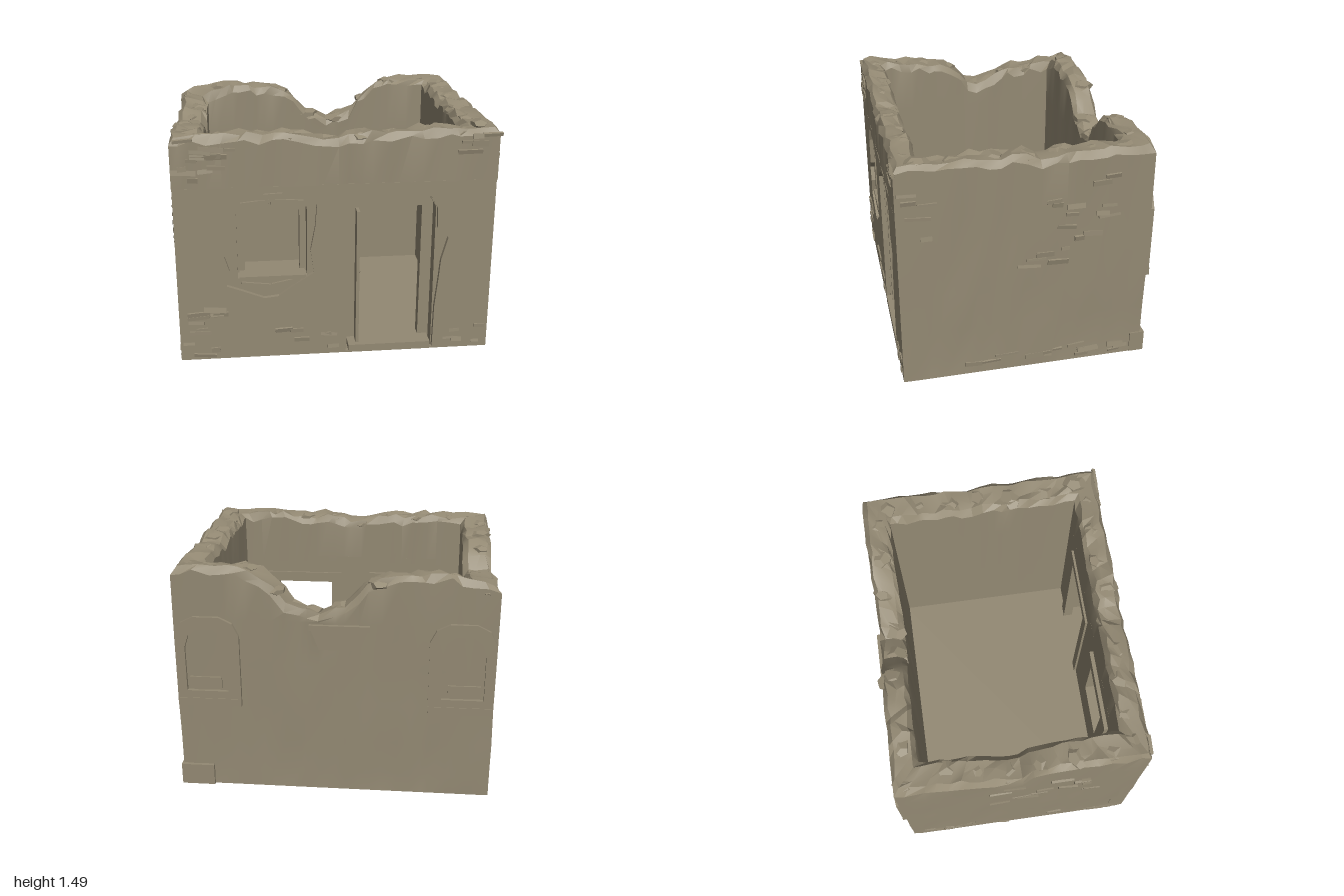
import * as THREE from 'three';
import { toCreasedNormals } from 'three/addons/utils/BufferGeometryUtils.js';

export function createModel() {
  const group = new THREE.Group();
  const clay = new THREE.MeshStandardMaterial({ color: 0x938973 });
  clay.name = 'dried clay';

  let seed = 11;
  const rnd = () => (seed = (seed * 16807) % 2147483647) / 2147483647;
  const jit = (a) => (rnd() * 2 - 1) * a;

  const add = (name, geo, x = 0, y = 0, z = 0, parent = group) => {
    const m = new THREE.Mesh(geo, clay);
    m.name = name;
    m.position.set(x, y, z);
    parent.add(m);
    return m;
  };
  const box = (name, x0, x1, y0, y1, z0, z1) =>
    add(name, new THREE.BoxGeometry(x1 - x0, y1 - y0, z1 - z0), (x0 + x1) / 2, (y0 + y1) / 2, (z0 + z1) / 2);
  const pts = (a) => a.map(([x, y]) => new THREE.Vector2(x, y));
  const rect = (x0, x1, y0, y1) => [[x0, y0], [x1, y0], [x1, y1], [x0, y1]];
  const plate = (name, outline, holes, z0, z1) => {
    const s = new THREE.Shape(pts(outline));
    holes.forEach((h) => s.holes.push(new THREE.Path(pts(h))));
    return add(name, new THREE.ExtrudeGeometry(s, { depth: z1 - z0, bevelEnabled: false }), 0, 0, z0);
  };

  // Broken top heights of each wall, as [position along the wall, height]
  const tops = {
    front: [[-1, 1.47], [-0.3, 1.47], [-0.12, 1.43], [0.2, 1.46], [1, 1.47]],
    right: [[-1, 1.47], [-0.2, 1.47], [-0.12, 1.41], [-0.02, 1.47], [1, 1.47]],
    back: [[-1, 1.4], [-0.7, 1.46], [-0.25, 1.43], [-0.08, 1.25], [0.1, 1.2], [0.28, 1.25], [0.45, 1.4], [0.6, 1.47], [1, 1.47]],
    left: [[-0.8, 1.4], [-0.35, 1.35], [-0.12, 1.26], [0.02, 1.28], [0.14, 1.42], [0.8, 1.47]],
  };
  const heightAt = (list, t) => {
    for (let i = 1; i < list.length; i++) {
      const [a, ha] = list[i - 1], [b, hb] = list[i];
      if (t <= b) return THREE.MathUtils.lerp(ha, hb, Math.max(0, (t - a) / (b - a)));
    }
    return list[list.length - 1][1];
  };

  // Ring of walls swept around the plan; the front starts above the openings
  const sides = [
    ['front', [-1, 1], [1, 1], 26], ['right', [1, 1], [1, -1], 20],
    ['back', [1, -1], [-1, -1], 26], ['left', [-1, -1], [-1, 1], 20],
  ];
  const rows = [0, 0.12, 0.35, 0.6, 0.85, 1.14];
  const OX = 0.985, OZ = 0.772, IX = 0.79, IZ = 0.61;
  const pos = [], isFront = [];
  for (const [name, a, b, n] of sides) {
    for (let i = 0; i < n; i++) {
      const t = i === 0 ? 0 : (i + jit(0.3)) / n;
      const px = THREE.MathUtils.lerp(a[0], b[0], t), pz = THREE.MathUtils.lerp(a[1], b[1], t);
      const along = name === 'front' || name === 'back';
      const h = Math.min(1.485, heightAt(tops[name], along ? px * OX : pz * OZ) + jit(0.013));
      const put = (k, y, o) => pos.push(px * (OX + (IX - OX) * k + o), y, pz * (OZ + (IZ - OZ) * k + o));
      rows.forEach((y, j) => put(0, y, j === 5 || i === 0 ? jit(0.003) : j === 0 ? 0.004 : jit(0.007)));
      put(0, h - 0.045 + jit(0.02), jit(0.007));
      put(0.1 + rnd() * 0.14, h - 0.008 * rnd(), 0);
      put(0.5 + jit(0.15), h - 0.025 * rnd(), 0);
      put(0.84 + jit(0.07), h - 0.03 * rnd(), 0);
      put(1, h - 0.06 + jit(0.02), jit(0.004));
      put(1, 1.1, 0);
      put(1, 0, 0);
      isFront.push(name === 'front');
    }
  }
  const count = isFront.length, per = pos.length / 3 / count, index = [];
  for (let i = 0; i < count; i++) {
    const k = (i + 1) % count;
    for (let j = 0; j < per - 1; j++) {
      if (isFront[i] && (j < 5 || j === per - 2)) continue;
      const p = i * per + j, q = k * per + j;
      index.push(p, q, q + 1, p, q + 1, p + 1);
    }
  }
  const ring = new THREE.BufferGeometry();
  ring.setAttribute('position', new THREE.Float32BufferAttribute(pos, 3));
  ring.setIndex(index);
  add('wallRing', toCreasedNormals(ring, 0.4));

  // Front wall in layers: chipped plaster, core and inner lining
  const arch = [[0.07, 0.01], [0.62, 0.01], [0.62, 0.97], [0.58, 1.04], [0.48, 1.1], [0.38, 1.115],
    [0.27, 1.105], [0.16, 1.06], [0.09, 1.0], [0.07, 0.96]];
  const chippedArch = [[0.06, 0.01], [0.625, 0.01], [0.63, 0.3], [0.65, 0.5], [0.66, 0.62], [0.7, 0.77], [0.67, 0.82],
    [0.63, 0.84], [0.625, 0.97], [0.58, 1.05], [0.48, 1.11], [0.38, 1.12], [0.27, 1.11], [0.16, 1.065], [0.055, 0.98], [0.075, 0.5]];
  const chippedWindow = [[-0.68, 0.5], [-0.6, 0.47], [-0.45, 0.41], [-0.36, 0.42], [-0.25, 0.5], [-0.14, 0.57], [-0.16, 0.72],
    [-0.13, 0.88], [-0.12, 1.02], [-0.22, 1.07], [-0.38, 1.12], [-0.58, 1.05], [-0.62, 0.95], [-0.63, 0.76], [-0.69, 0.7], [-0.66, 0.6]];
  const face = rect(-0.983, 0.983, 0, 1.145);
  const lining = rect(-0.8, 0.8, 0, 1.145);
  plate('frontPlaster', face, [chippedArch, chippedWindow], 0.745, 0.773);
  plate('frontCore', face, [arch, rect(-0.61, -0.18, 0.54, 1.0)], 0.66, 0.745);
  plate('frontLining', lining, [rect(0.15, 0.55, 0.05, 0.95), rect(-0.565, -0.22, 0.55, 0.95)], 0.61, 0.66);

  // Window and door frames inside the room, door post and knob
  plate('innerWindowFrame', rect(-0.67, -0.13, 0.47, 1.03), [rect(-0.565, -0.22, 0.55, 0.95)], 0.585, 0.61);
  plate('innerDoorFrame', rect(0.08, 0.63, 0.04, 1.02), [rect(0.15, 0.55, 0.05, 0.95)], 0.595, 0.61);
  box('doorPost', 0.13, 0.15, 0.05, 0.95, 0.6, 0.74);
  add('doorKnob', new THREE.SphereGeometry(0.013, 10, 8), 0.158, 0.5, 0.63);
  box('threshold', 0.08, 0.61, 0, 0.05, 0.6, 0.775);
  box('windowSill', -0.6, -0.19, 0.53, 0.555, 0.66, 0.765);
  box('floor', -0.98, 0.98, 0.001, 0.05, -0.768, 0.65);
  // Broken bricks showing in the chipped plaster over and under the window
  [[-0.5, 1.03, 0.18, 0.1], [-0.3, 1.035, 0.2, -0.08], [-0.4, 1.075, 0.2, 0.04], [-0.5, 0.49, 0.18, -0.12], [-0.31, 0.5, 0.18, 0.2]]
    .forEach(([x, y, w, r]) => { add('brick', new THREE.BoxGeometry(w, 0.035, 0.03), x, y, 0.745).rotation.z = r; });

  // Arched blind niches and the bracket on the back wall
  const archOutline = (x, w, y0, y1) => [[x - w, y0], [x + w, y0], [x + w, y1 - 0.12], [x + w * 0.8, y1 - 0.04],
    [x + w * 0.4, y1], [x - w * 0.4, y1], [x - w * 0.8, y1 - 0.04], [x - w, y1 - 0.12]];
  for (const s of [-1, 1]) {
    plate('nicheFrame', archOutline(s * 0.78, 0.2, 0.6, 1.16), [archOutline(s * 0.79, 0.13, 0.67, 1.08)], -0.793, -0.755);
    box('nicheSill', s * 0.78 - 0.2, s * 0.78 + 0.2, 0.57, 0.62, -0.797, -0.76);
    box('nicheStone', s * 0.8 - 0.1, s * 0.8 + 0.1, 0.68, 0.76, -0.784, -0.76);
  }
  plate('backBracket', [[-0.16, 0.97], [0.09, 0.97], [0.14, 1.1], [-0.21, 1.1]], [], -0.785, -0.755);
  box('bracketLedge', -0.22, 0.15, 1.095, 1.13, -0.795, -0.755);
  box('backCornerStone', 0.78, 0.992, 0, 0.14, -0.796, -0.7);

  // Eroded brick courses: shallow slivers clustered on each wall
  // [wall, centre along wall, centre height, spread, spread, number]
  const clusters = [
    ['front', -0.8, 1.32, 0.15, 0.13, 14], ['front', -0.83, 0.2, 0.13, 0.18, 12], ['front', -0.2, 0.14, 0.2, 0.1, 6],
    ['front', 0.82, 0.12, 0.12, 0.1, 5], ['front', 0.87, 1.38, 0.09, 0.07, 5],
    ['right', 0, 0.06, 0.68, 0.05, 14], ['right', -0.35, 1.1, 0.3, 0.2, 12], ['right', 0.65, 1.2, 0.08, 0.2, 5],
    ['right', -0.15, 0.77, 0.15, 0.08, 5], ['left', 0, 0.08, 0.66, 0.06, 12], ['left', 0.2, 0.95, 0.35, 0.25, 14],
  ];
  for (const [wall, u0, y0, du, dy, n] of clusters) {
    for (let i = 0; i < n; i++) {
      const u = u0 + jit(du), y = Math.max(0.025, y0 + jit(dy));
      const w = 0.05 + rnd() * 0.1, h = 0.014 + rnd() * 0.022;
      const holder = new THREE.Group();
      holder.name = 'erodedCourse';
      if (wall === 'front') holder.position.set(u, y, 0.771);
      else {
        holder.position.set(wall === 'right' ? 0.983 : -0.983, y, u);
        holder.rotation.y = wall === 'right' ? Math.PI / 2 : -Math.PI / 2;
      }
      const chip = add('chippedBrick', new THREE.BoxGeometry(w, h, 0.02), 0, 0, 0, holder);
      chip.rotation.set(jit(0.25), jit(0.06), jit(0.1));
      group.add(holder);
    }
  }

  // Loose rubble bedded in the wall tops
  for (let i = 0; i < count; i += 3) {
    const v = (i * per + 8) * 3;
    const stone = add('rubble', new THREE.DodecahedronGeometry(0.045 + rnd() * 0.025), pos[v], pos[v + 1] - 0.022, pos[v + 2]);
    stone.geometry.scale(1.3, 0.5, 1.1);
    stone.rotation.y = rnd() * 6;
  }
  return group;
}
